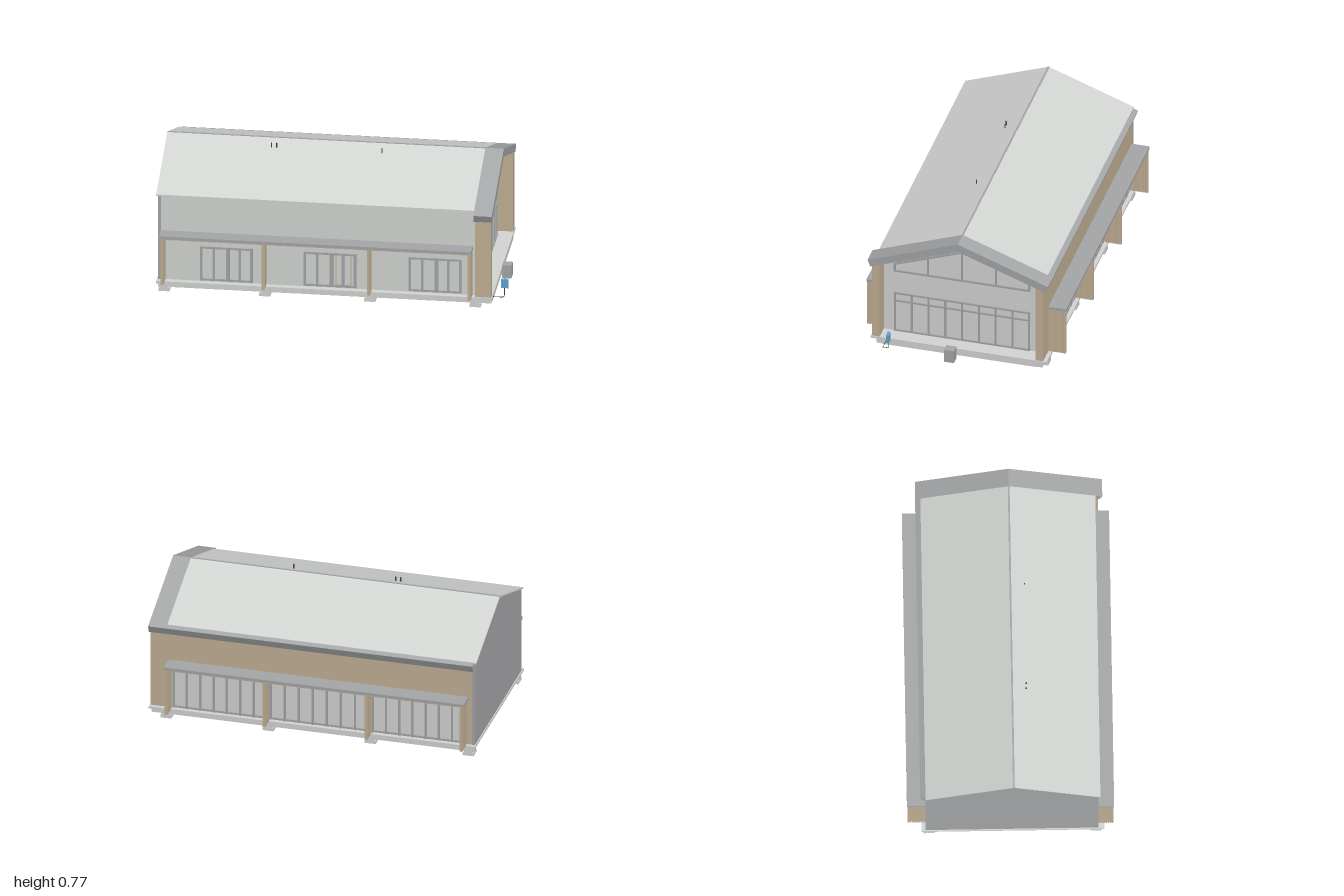
import * as THREE from 'three';

const mat = (name, color) => Object.assign(new THREE.MeshStandardMaterial({ color }), { name });
const light = mat('lightWall', 0xd4d6d4);
const grey = mat('frameGrey', 0xa6a7a9);
const wood = mat('timber', 0xc3b196);
const blue = mat('blue', 0x66a5d2);
const dark = mat('darkMetal', 0x4c4a46);

// The building's centre line, ridge and roof pitch
const ZC = 0.02, RIDGE = 0.77, PITCH = 0.368;
const roofY = (z) => RIDGE - Math.abs(z - ZC) * PITCH;

export function createModel() {
  const model = new THREE.Group();

  const add = (name, geo, material, parent = model) => {
    const m = new THREE.Mesh(geo, material);
    m.name = name;
    parent.add(m);
    return m;
  };
  // Box given by its limits on each axis
  const box = (name, material, x0, x1, y0, y1, z0, z1, parent) => {
    const g = new THREE.BoxGeometry(x1 - x0, y1 - y0, Math.abs(z1 - z0));
    g.translate((x0 + x1) / 2, (y0 + y1) / 2, (z0 + z1) / 2);
    return add(name, g, material, parent);
  };
  // Outline in (z, y) extruded along x, with an optional hole
  const prism = (name, material, pts, x0, x1, hole) => {
    const toV = (p) => new THREE.Vector2(p[0], p[1]);
    const s = new THREE.Shape(pts.map(toV));
    if (hole) s.holes.push(new THREE.Path(hole.map(toV)));
    const g = new THREE.ExtrudeGeometry(s, { depth: x1 - x0, bevelEnabled: false });
    g.rotateY(-Math.PI / 2).translate(x1, 0, 0);
    return add(name, g, material);
  };
  const group = (name) => {
    const g = new THREE.Group();
    g.name = name;
    model.add(g);
    return g;
  };

  // Main volume and left gable cladding
  const house = (zb, zf, drop) => [
    [zf, 0.066], [zf, roofY(zf) - drop], [ZC, RIDGE - drop], [zb, roofY(zb) - drop], [zb, 0.066],
  ];
  prism('mainWalls', light, house(-0.472, 0.495, 0.008), -0.975, 0.825);
  prism('leftGable', grey, house(-0.48, 0.5, 0.006), -0.992, -0.975);

  // Roof sheets, rear eave and the deep frame around the right gable
  const chevron = (zb, zf, t) => [
    [zf, roofY(zf)], [ZC, RIDGE], [zb, roofY(zb)], [zb, roofY(zb) - t], [ZC, RIDGE - t], [zf, roofY(zf) - t],
  ];
  prism('roof', light, chevron(-0.48, 0.51, 0.008), -1, 0.815);
  prism('rearEave', grey, [[-0.48, roofY(-0.48)], [-0.51, 0.575], [-0.494, 0.533], [-0.48, 0.538]], -0.985, 0.815);
  prism('gableFrame', grey, [
    [ZC, RIDGE], [-0.51, 0.575], [-0.494, 0.533], [ZC, 0.72], [0.534, 0.533], [0.55, 0.575],
  ], 0.815, 0.92);
  box('ridgeCap', grey, -1, 0.815, RIDGE - 0.006, RIDGE + 0.001, ZC - 0.005, ZC + 0.005);

  // Timber end pillars and rear cladding
  box('frontPillar', wood, 0.822, 0.914, 0.066, 0.548, 0.48, 0.525);
  box('rearPillar', wood, 0.79, 0.914, 0.066, 0.548, -0.48, -0.435);
  box('rearUpperCladding', wood, -0.975, 0.79, 0.305, 0.56, -0.48, -0.47);
  box('rearLeftCladding', wood, -0.975, -0.94, 0.066, 0.305, -0.48, -0.47);

  // Right gable: lower glazing grid
  const lower = group('gableLowerWindow');
  for (let i = 0; i <= 8; i++) {
    const z = 0.414 - i * 0.0985;
    box('gableMullion', grey, 0.825, 0.833, 0.066, 0.325, z - 0.005, z + 0.005, lower);
  }
  for (const y of [0.072, 0.27, 0.32]) box('gableRail', grey, 0.825, 0.834, y - 0.005, y + 0.005, -0.38, 0.42, lower);

  // Right gable: upper window following the pitch
  const gableWin = (i) => [
    [ZC + 0.4 - i, 0.465 + i], [ZC + 0.4 - i, 0.52 - i * 0.7], [ZC, 0.665 - i], [ZC - 0.4 + i, 0.52 - i * 0.7], [ZC - 0.4 + i, 0.465 + i],
  ];
  prism('gableUpperWindowFrame', grey, gableWin(0), 0.825, 0.834, gableWin(0.011));
  for (const dz of [-0.2, 0, 0.2]) {
    const top = 0.655 - Math.abs(dz) * 0.363;
    box('gableUpperMullion', grey, 0.825, 0.833, 0.47, top, ZC + dz - 0.004, ZC + dz + 0.004);
  }

  // Front windows
  for (const x0 of [-0.75, -0.16, 0.44]) {
    const w = group('frontWindow');
    for (const [dx, h] of [[0.006, 0.007], [0.078, 0.007], [0.158, 0.011], [0.225, 0.007], [0.293, 0.007]])
      box('windowMullion', grey, x0 + dx - h, x0 + dx + h, 0.072, 0.28, 0.495, 0.503, w);
    for (const y of [0.072, 0.268]) box('windowRail', grey, x0, x0 + 0.3, y, y + 0.011, 0.495, 0.502, w);
  }
  for (const x of [0.022, 0.107]) box('doorTrim', wood, x, x + 0.006, 0.083, 0.268, 0.495, 0.5);
  box('doorTrimSill', wood, 0.022, 0.113, 0.083, 0.089, 0.495, 0.5);

  // Rear glazing, one run per bay
  const bays = [[-0.94, -0.385], [-0.375, 0.215], [0.225, 0.785]];
  for (const [a, b] of bays) {
    const w = group('rearWindow');
    for (let i = 0; i <= 7; i++) {
      const x = a + 0.006 + (i / 7) * (b - a - 0.012);
      box('rearMullion', grey, x - 0.006, x + 0.006, 0.066, 0.305, -0.48, -0.472, w);
    }
    for (const y of [0.068, 0.294]) box('rearRail', grey, a, b, y, y + 0.011, -0.479, -0.472, w);
  }

  // Canopies carried on slatted timber fins, front and rear
  const canopy = (name, x0, zWall, zEdge) => {
    const g = group(name);
    const dir = Math.sign(zEdge - zWall);
    box('canopyRoof', grey, x0, 0.806, 0.35, 0.366, zWall, zEdge, g);
    box('canopySoffit', wood, x0 + 0.004, 0.802, 0.344, 0.35, zWall, zEdge - dir * 0.004, g);
    for (const x of [x0 + 0.018, -0.38, 0.22, 0.795]) {
      const n = Math.floor(Math.abs(zEdge - zWall) / 0.0125);
      box('finCore', wood, x - 0.003, x + 0.003, 0.066, 0.344, zWall, zEdge - dir * 0.006, g);
      for (let i = 0; i < n; i++) {
        const z = zEdge - dir * (0.003 + i * 0.0125);
        box('finSlat', wood, x - 0.008, x + 0.008, 0.066, 0.344, z - dir * 0.009, z, g);
      }
    }
  };
  canopy('frontCanopy', -0.975, 0.495, 0.588);
  canopy('rearCanopy', -0.955, -0.48, -0.585);

  // Floor slab, ground beams and foundation pads
  box('floorSlab', light, -0.998, 0.918, 0.052, 0.066, -0.502, 0.532);
  for (const z of [-0.46, 0.485]) {
    box('longBeam', light, -0.99, 0.91, 0.02, 0.052, z - 0.015, z + 0.015);
    for (const x of [-0.955, -0.38, 0.22, 0.82]) {
      box('pad', light, x - 0.032, x + 0.032, 0, 0.018, z - 0.032, z + 0.032);
      for (const s of [-1, 1])
        box('padCheek', light, x - 0.025, x + 0.025, 0.018, 0.052, z + s * 0.026 - 0.006, z + s * 0.026 + 0.006);
    }
  }
  for (const x of [-0.955, -0.38, 0.22, 0.82]) box('crossBeam', light, x - 0.015, x + 0.015, 0.02, 0.052, -0.445, 0.47);
  box('rightEdgeBeam', light, 0.885, 0.914, 0.02, 0.052, -0.445, 0.47);

  // Service box, meter box and pipes
  box('serviceBox', grey, 0.918, 0.972, 0.001, 0.08, 0.028, 0.086);
  box('meterBox', blue, 0.955, 0.998, 0.085, 0.136, 0.404, 0.421);
  const pipe = (name, material, r, ...pts) => {
    for (let i = 0; i < pts.length - 1; i++) {
      const a = new THREE.Vector3(...pts[i]), b = new THREE.Vector3(...pts[i + 1]);
      add(name, new THREE.TubeGeometry(new THREE.LineCurve3(a, b), 1, r, 6), material);
    }
  };
  pipe('meterPipe', dark, 0.002, [0.975, 0.085, 0.412], [0.975, 0.04, 0.412], [0.975, 0.04, 0.445], [0.915, 0.04, 0.445]);
  pipe('drainPipe', wood, 0.005, [0.93, 0.016, 0.055], [-0.45, 0.03, 0.055]);
  pipe('supplyPipe', blue, 0.003, [0.91, 0.018, 0.445], [-0.36, 0.024, 0.445]);

  // Roof vent pipes
  for (const x of [-0.395, -0.365, 0.235])
    pipe('ventPipe', dark, 0.004, [x, 0.735, 0.1], [x, 0.77, 0.1]);

  return model;
}
